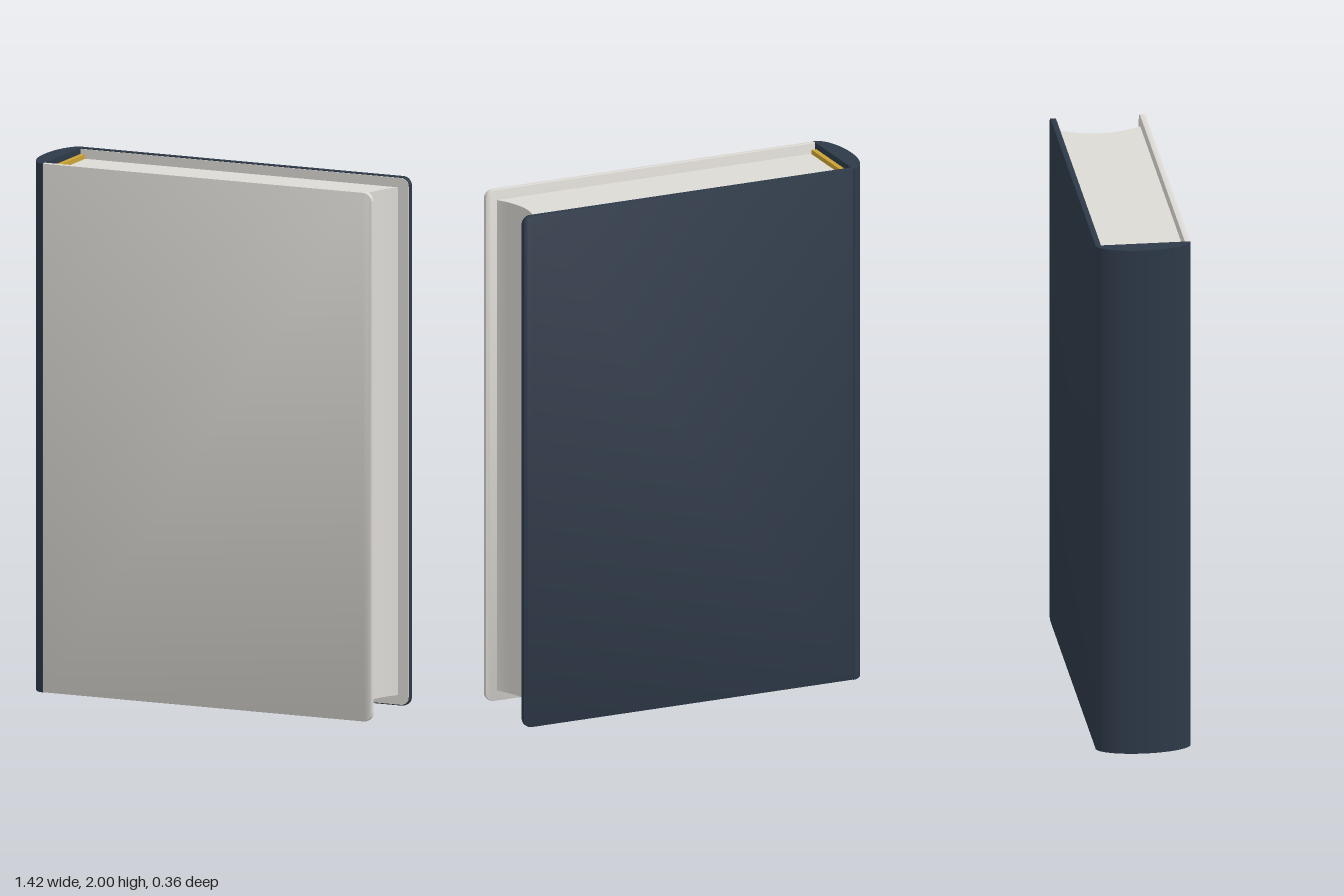
import * as THREE from 'three';
import { toCreasedNormals } from 'three/addons/utils/BufferGeometryUtils.js';

const HEIGHT = 2, HALF = 0.178, INNER = 0.156, HINGE = -0.637, LEFT = -0.71, RIGHT = 0.71;
const PAGE_BOTTOM = 0.04;

export function createModel() {
  const paper = new THREE.MeshStandardMaterial({ name: 'pale grey', color: 0xdddad5 });
  const navy = new THREE.MeshStandardMaterial({ name: 'dark navy', color: 0x2e3a49 });
  const gold = new THREE.MeshStandardMaterial({ name: 'gold', color: 0xcda434 });

  const book = new THREE.Group();
  book.name = 'book';

  const add = (name, geometry, material, x = 0, y = 0, z = 0) => {
    const mesh = new THREE.Mesh(geometry, material);
    mesh.name = name;
    mesh.position.set(x, y, z);
    book.add(mesh);
  };

  // Extrudes a plan outline (x, -z) straight up
  const upright = (shape, height) => toCreasedNormals(
    new THREE.ExtrudeGeometry(shape, { depth: height, bevelEnabled: false, curveSegments: 32 })
      .rotateX(-Math.PI / 2), 0.6);

  // Board with rounded corners on its free edge
  const board = (thickness, inset, bevel) => {
    const e = inset + bevel, x0 = HINGE + bevel, x1 = RIGHT - e, y0 = e, y1 = HEIGHT - e, r = 0.03;
    const s = new THREE.Shape();
    s.moveTo(x0, y0);
    s.lineTo(x1 - r, y0);
    s.absarc(x1 - r, y0 + r, r, -Math.PI / 2, 0, false);
    s.lineTo(x1, y1 - r);
    s.absarc(x1 - r, y1 - r, r, 0, Math.PI / 2, false);
    s.lineTo(x0, y1);
    s.closePath();
    const g = new THREE.ExtrudeGeometry(s, {
      depth: thickness - 2 * bevel, curveSegments: 8, bevelEnabled: bevel > 0,
      bevelThickness: bevel, bevelSize: bevel, bevelSegments: 2,
    });
    return toCreasedNormals(g.translate(0, 0, bevel), 0.6);
  };

  // Covers, with a pale lining inside the dark back board
  const thickness = HALF - INNER;
  add('frontCover', board(thickness, 0, 0.003), paper, 0, 0, INNER);
  add('backCover', board(thickness, 0, 0.003), navy, 0, 0, -HALF);
  add('backLining', board(0.003, 0.004, 0), paper, 0, 0, -INNER);

  // Rounded spine: half an ellipse in plan
  const spine = new THREE.Shape();
  spine.moveTo(HINGE, HALF);
  spine.absellipse(HINGE, 0, HINGE - LEFT, HALF, Math.PI / 2, Math.PI * 1.5, false, 0);
  spine.closePath();
  add('spine', upright(spine, HEIGHT), navy);

  // Page block with a hollowed fore edge
  const block = new THREE.Shape();
  block.moveTo(HINGE, -INNER);
  block.lineTo(0.665, -INNER);
  block.quadraticCurveTo(0.555, 0, 0.665, INNER);
  block.lineTo(HINGE, INNER);
  block.closePath();
  add('pages', upright(block, HEIGHT - 2 * PAGE_BOTTOM), paper, 0, PAGE_BOTTOM, 0);

  // Gold bands at the head and foot of the spine
  for (const [name, y] of [['footBand', 0.034], ['headBand', HEIGHT - 0.034]]) {
    add(name, new THREE.BoxGeometry(0.019, 0.022, 0.3), gold, HINGE + 0.0095, y, 0);
  }
  return book;
}
